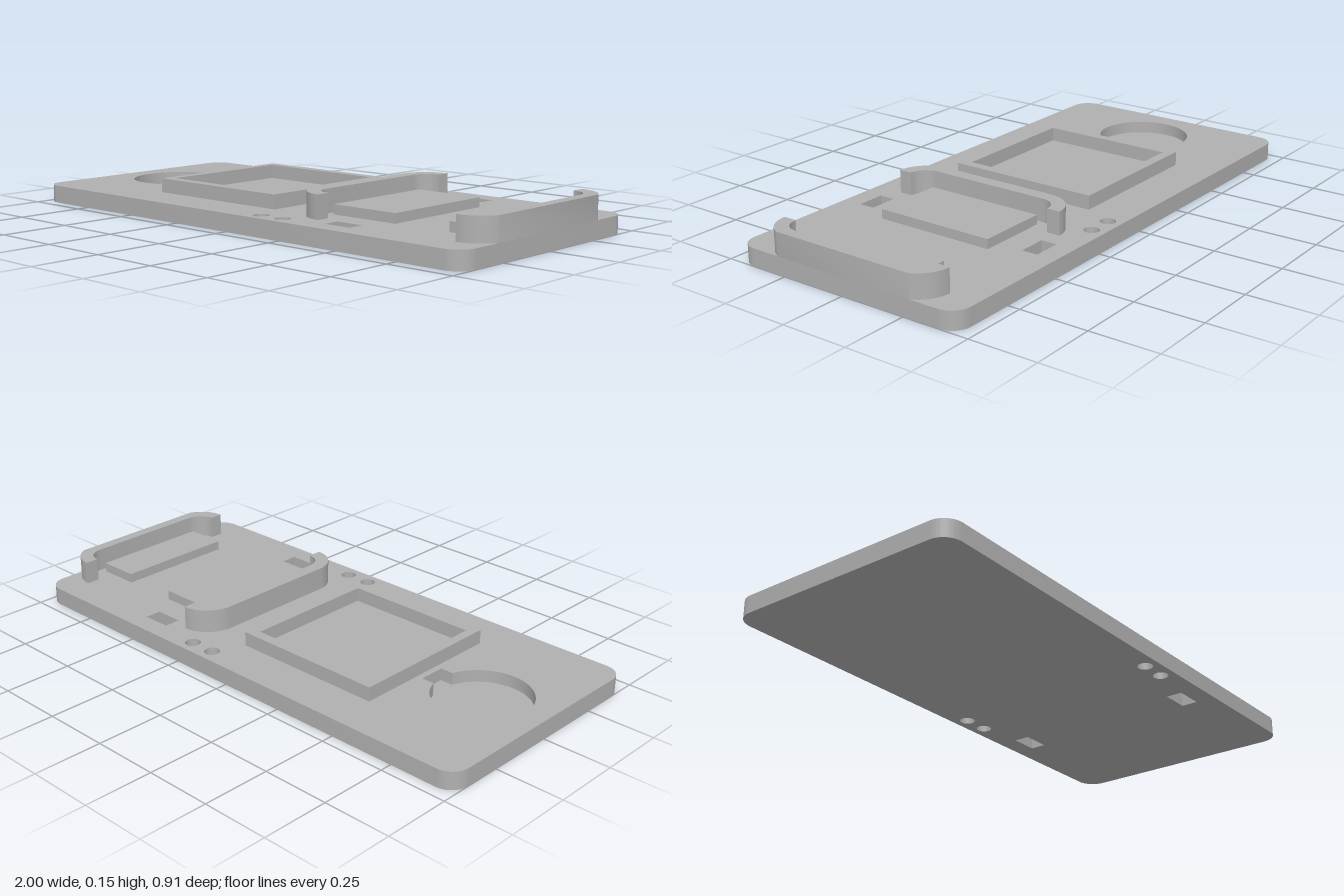
import * as THREE from 'three';
import { toCreasedNormals } from 'three/addons/utils/BufferGeometryUtils.js';

const PLATE_TOP = 0.065;
const POCKET_FLOOR = 0.02;

export function createModel() {
  const group = new THREE.Group();
  const grey = new THREE.MeshStandardMaterial({ color: 0xb0b0b0 });
  grey.name = 'grey plastic';

  // Extrudes a plan outline upwards from y0 to y1
  function slab(name, shape, y0, y1, x = 0, turn = 0) {
    const flat = new THREE.ExtrudeGeometry(shape, { depth: y1 - y0, bevelEnabled: false, curveSegments: 20 });
    flat.rotateX(-Math.PI / 2).rotateY(turn).translate(x, y0, 0);
    const mesh = new THREE.Mesh(toCreasedNormals(flat, 0.5), grey);
    mesh.name = name;
    group.add(mesh);
  }

  function rect(x0, x1, z0, z1, Type = THREE.Shape) {
    const s = new Type();
    s.moveTo(x0, z0).lineTo(x1, z0).lineTo(x1, z1).lineTo(x0, z1).closePath();
    return s;
  }

  // Rounded plate outline with the through holes
  function plateOutline() {
    const w = 1, d = 0.457, r = 0.07;
    const s = new THREE.Shape();
    s.absarc(w - r, d - r, r, 0, Math.PI / 2);
    s.absarc(-w + r, d - r, r, Math.PI / 2, Math.PI);
    s.absarc(-w + r, -d + r, r, Math.PI, Math.PI * 1.5);
    s.absarc(w - r, -d + r, r, Math.PI * 1.5, Math.PI * 2);
    s.closePath();
    for (const side of [-1, 1]) {
      for (const x of [0.123, 0.222]) {
        s.holes.push(new THREE.Path().absarc(x, side * 0.405, 0.028, 0, Math.PI * 2));
      }
      const z = side * 0.353;
      s.holes.push(rect(0.393, 0.5, z - 0.03, z + 0.03, THREE.Path));
    }
    return s;
  }

  // Plate: solid floor, then an upper layer with the keyed round pocket
  slab('plateFloor', plateOutline(), 0, POCKET_FLOOR);
  const upper = plateOutline();
  const a = Math.asin(0.05 / 0.174);
  const pocket = new THREE.Path();
  pocket.absarc(-0.75, 0, 0.174, a, Math.PI * 2 - a);
  pocket.lineTo(-0.535, -0.05).lineTo(-0.535, 0.05).closePath();
  upper.holes.push(pocket);
  slab('plateTop', upper, POCKET_FLOOR, PLATE_TOP);

  // Raised square frame
  const frame = rect(-0.512, 0.072, -0.292, 0.292);
  frame.holes.push(rect(-0.478, 0.036, -0.254, 0.254, THREE.Path));
  slab('squareFrame', frame, PLATE_TOP, 0.117);

  // Low support blocks between the brackets
  slab('innerBlock', rect(0.29, 0.558, -0.228, 0.228), PLATE_TOP, 0.1);
  slab('outerBlock', rect(0.778, 0.933, -0.228, 0.228), PLATE_TOP, 0.1);

  // C-shaped bracket bulging towards +x, cut flat at the given reach
  function bracket(reach) {
    const c = 0.231, R = 0.116, r = 0.066, cut = Math.acos(Math.min(1, reach / R));
    const s = new THREE.Shape();
    s.absarc(0, -c, R, -Math.PI / 2, -cut);
    s.absarc(0, c, R, cut, Math.PI / 2);
    s.absarc(0, c, r, Math.PI / 2, 0, true);
    s.absarc(0, -c, r, 0, -Math.PI / 2, true);
    s.closePath();
    return s;
  }
  slab('innerBracket', bracket(0.116), PLATE_TOP, 0.15, 0.327, Math.PI);
  slab('outerBracket', bracket(0.107), PLATE_TOP, 0.15, 0.893);

  return group;
}
